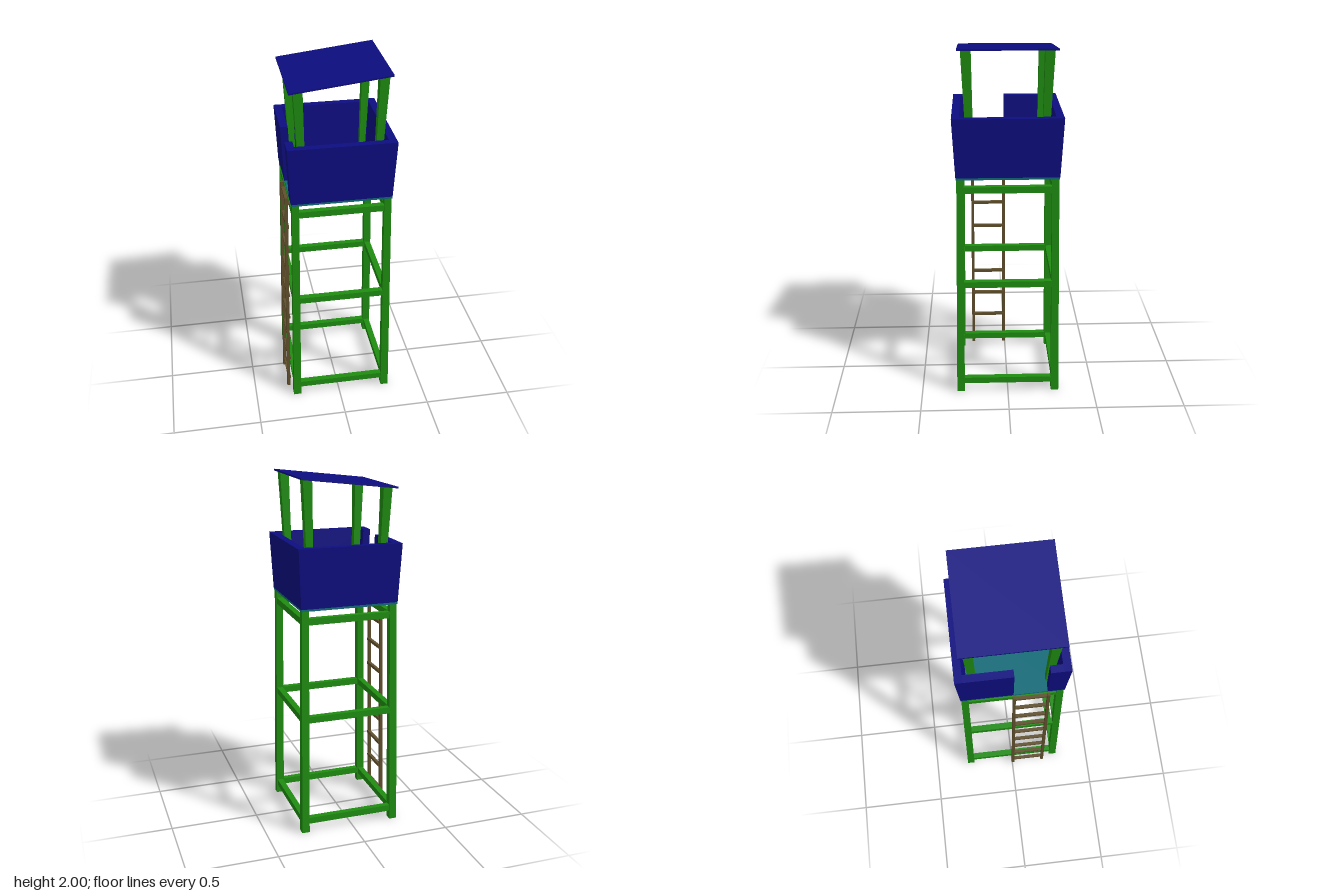
import * as THREE from 'three';

const paint = (color) => new THREE.MeshStandardMaterial({ color, flatShading: true });
const CX = 0.0135; // tower axis in x; the ladder offsets it from the origin

// Six-sided beam between two rectangles [x, z, width, depth]; y0 and y1 are heights or functions of x
function beam(name, material, bottom, top, y0, y1) {
  const geometry = new THREE.BoxGeometry(1, 1, 1);
  const p = geometry.attributes.position;
  for (let i = 0; i < p.count; i++) {
    const up = p.getY(i) > 0;
    const [cx, cz, w, d] = up ? top : bottom;
    const x = cx + p.getX(i) * w;
    const y = up ? y1 : y0;
    p.setXYZ(i, x, typeof y === 'function' ? y(x) : y, cz + p.getZ(i) * d);
  }
  geometry.computeVertexNormals();
  const mesh = new THREE.Mesh(geometry, material);
  mesh.name = name;
  return mesh;
}

// Rectangle from its edges
const rect = (x0, x1, z0, z1) => [(x0 + x1) / 2, (z0 + z1) / 2, x1 - x0, z1 - z0];

export function createModel() {
  const model = new THREE.Group();
  model.name = 'watchtower';
  const green = paint(0x1e8c10), blue = paint(0x0d0d80);
  const teal = paint(0x0e6a78), brown = paint(0x5f4f2c);
  const group = (name) => {
    const g = new THREE.Group();
    g.name = name;
    model.add(g);
    return g;
  };

  const roofY = (x) => 1.937 + (x + 0.26) * 0.117;
  const underRoof = (x) => roofY(x) - 0.009;

  // Leaning legs and flaring roof posts
  const legs = group('legs'), posts = group('roofPosts');
  for (const sx of [-1, 1]) for (const sz of [-1, 1]) {
    legs.add(beam('leg', green,
      [CX + sx * 0.268, sz * 0.275, 0.044, 0.044],
      [CX + sx * 0.252, sz * 0.258, 0.039, 0.039], 0, 1.3));
    posts.add(beam('roofPost', green,
      [CX + sx * 0.2, sz * 0.2, 0.03, 0.03],
      [CX + sx * 0.2235, sz * 0.2195, 0.05, 0.052], 1.31, underRoof));
  }

  // Three rings of crossbars
  const bars = group('crossbars');
  for (const y of [0.068, 0.68, 1.24]) {
    const hx = 0.268 - 0.0123 * y, hz = 0.275 - 0.0131 * y;
    for (const s of [-1, 1]) {
      const along = [CX, s * hz, 2 * hx, 0.034], across = [CX + s * hx, 0, 0.034, 2 * hz];
      bars.add(beam('crossbarX', green, along, along, y - 0.018, y + 0.018));
      bars.add(beam('crossbarZ', green, across, across, y - 0.018, y + 0.018));
    }
  }

  // Floor
  const floor = [CX, 0, 0.55, 0.562];
  model.add(beam('floor', teal, floor, floor, 1.3, 1.312));

  // Cabin walls, spreading upwards, with an entrance on the ladder side
  const walls = group('walls');
  const T = 0.042, B = [0.276, 0.282], U = [0.2915, 0.2985]; // half sizes at bottom and top
  const wall = (name, outline) =>
    walls.add(beam(name, blue, rect(...outline(...B)), rect(...outline(...U)), 1.312, 1.64));
  wall('frontWall', (x, z) => [CX - x, CX + x, z - T, z]);
  wall('backWall', (x, z) => [CX - x, CX + x, -z, T - z]);
  wall('leftWall', (x, z) => [CX + x - T, CX + x, T - z, z - T]);
  wall('rightWallRear', (x, z) => [CX - x, CX - x + T, T - z, 0.005]);
  wall('rightWallFront', (x, z) => [CX - x, CX - x + T, 0.19, z - T]);

  // Sloping roof
  const roof = [0.009, 0, 0.538, 0.53];
  model.add(beam('roof', blue, roof, roof, underRoof, roofY));

  // Ladder
  const ladder = group('ladder');
  ladder.add(beam('ladderRail', brown, [-0.297, 0.2, 0.018, 0.018], [-0.278, 0.193, 0.018, 0.016], 0, 1.31));
  ladder.add(beam('ladderRail', brown, [-0.297, 0.006, 0.018, 0.018], [-0.278, 0.006, 0.018, 0.016], 0, 1.31));
  for (let i = 0; i < 9; i++) {
    const y = 0.05 + i * 0.153;
    const rung = [-0.291 + 0.0145 * y, 0.102, 0.018, 0.19];
    ladder.add(beam('rung', brown, rung, rung, y - 0.008, y + 0.008));
  }
  return model;
}
